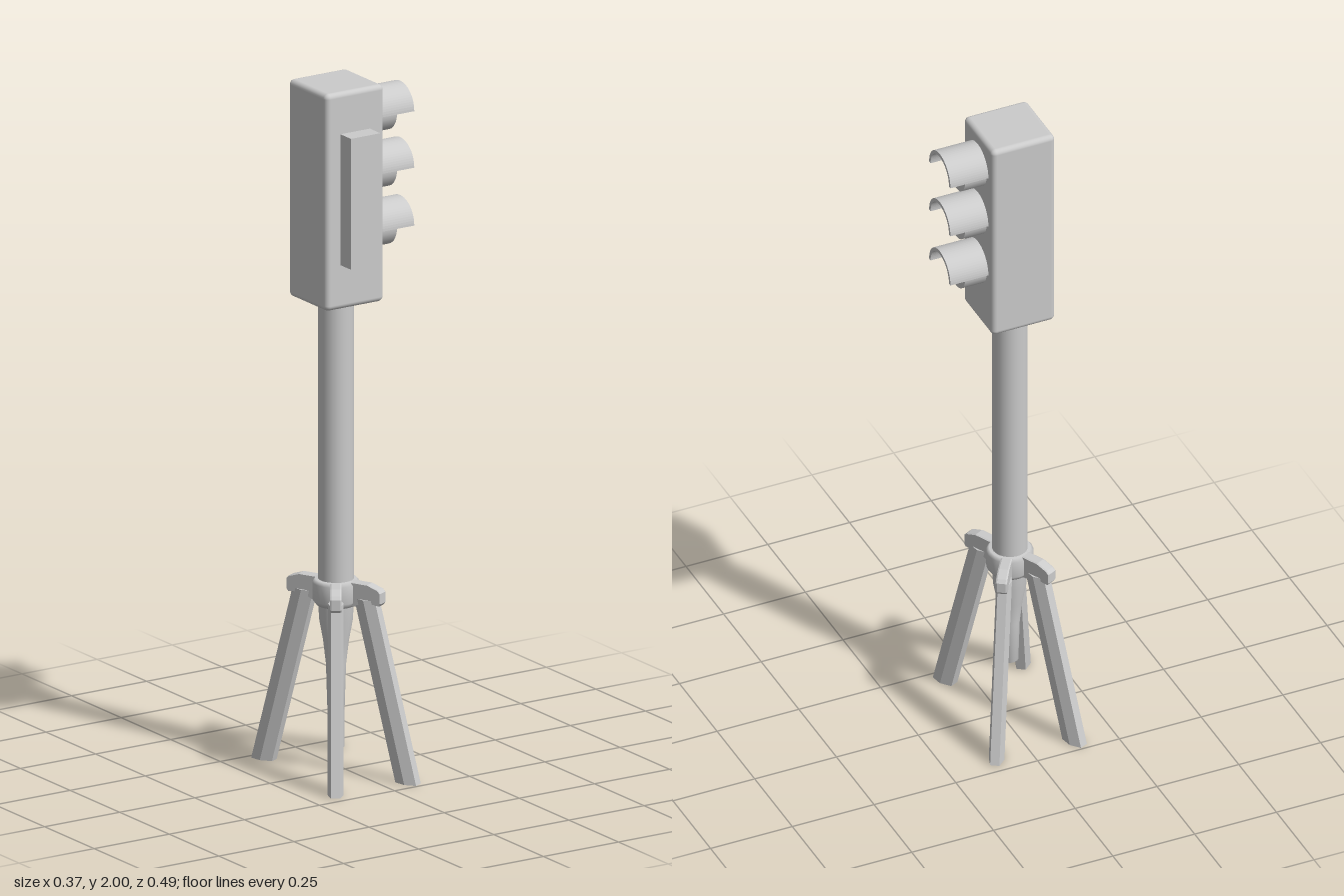
import * as THREE from 'three';
import { RoundedBoxGeometry } from 'three/addons/geometries/RoundedBoxGeometry.js';

const AXIS_X = -0.03; // the pole stands off-centre because the lamps stick out to +x

export function createModel() {
  const model = new THREE.Group();
  const material = new THREE.MeshStandardMaterial({ color: 0xcccccc });
  const add = (parent, name, geometry, x = 0, y = 0, z = 0) => {
    const mesh = new THREE.Mesh(geometry, material);
    mesh.name = name;
    mesh.position.set(x, y, z);
    parent.add(mesh);
    return mesh;
  };
  const points = (list) => list.map(([a, b]) => new THREE.Vector2(a, b));

  // Signal housing with the control panel on its front
  add(model, 'housing', new RoundedBoxGeometry(0.194, 0.63, 0.194, 3, 0.015), -0.028, 1.685, -0.002);
  add(model, 'controlPanel', new THREE.BoxGeometry(0.098, 0.38, 0.07), -0.029, 1.69, 0.113);

  // Three lamps, each a short drum under a half-round hood
  const drum = new THREE.CylinderGeometry(0.06, 0.06, 0.075, 24).rotateZ(-Math.PI / 2);
  const arch = new THREE.Shape();
  arch.absarc(0, 0, 0.071, 0, Math.PI, false);
  arch.absarc(0, 0, 0.061, Math.PI, 0, true);
  const hood = new THREE.ExtrudeGeometry(arch, { depth: 0.125, bevelEnabled: false, curveSegments: 16 })
    .rotateY(Math.PI / 2);
  [1.896, 1.732, 1.564].forEach((y, i) => {
    const lamp = new THREE.Group();
    lamp.name = ['topLamp', 'middleLamp', 'bottomLamp'][i];
    lamp.position.set(0.06, y, -0.002);
    add(lamp, 'lens', drum, 0.0375);
    add(lamp, 'hood', hood);
    model.add(lamp);
  });

  // Pole
  add(model, 'pole', new THREE.CylinderGeometry(0.05, 0.05, 0.88, 24), AXIS_X, 0.94, 0);

  // Collar around the pole and the tapered post hanging below it
  const collar = points([[0, 0.485], [0.055, 0.485], [0.066, 0.5], [0.066, 0.55], [0.058, 0.56], [0, 0.56]]);
  add(model, 'collar', new THREE.LatheGeometry(collar, 24), AXIS_X, 0, 0);
  const post = points([[0, 0.18], [0.024, 0.18], [0.028, 0.31], [0.036, 0.38], [0.047, 0.44], [0.05, 0.5]]);
  add(model, 'centrePost', new THREE.LatheGeometry(post, 20), AXIS_X, 0, 0);

  // Arm: side profile (distance from pole, height) given a width
  const armShape = new THREE.Shape(points([
    [0, 0.49], [0.07, 0.49], [0.1, 0.505], [0.146, 0.502], [0.152, 0.51],
    [0.152, 0.54], [0.143, 0.549], [0.11, 0.56], [0, 0.56],
  ]));
  const arm = new THREE.ExtrudeGeometry(armShape, {
    depth: 0.024, bevelThickness: 0.004, bevelSize: 0.002, bevelOffset: -0.002, bevelSegments: 1,
  }).translate(0, 0, -0.012);

  // Leg: hexagonal section extruded upwards, then sheared outwards to the foot
  const HEIGHT = 0.515;
  const section = new THREE.Shape(points([
    [0.066, -0.013], [0.1, -0.022], [0.133, -0.013], [0.133, 0.013], [0.1, 0.022], [0.066, 0.013],
  ]));
  const leg = new THREE.ExtrudeGeometry(section, { depth: HEIGHT, bevelEnabled: false }).rotateX(-Math.PI / 2);
  const p = leg.attributes.position;
  for (let i = 0; i < p.count; i++) p.setX(i, p.getX(i) + 0.133 * (1 - p.getY(i) / HEIGHT));
  leg.computeVertexNormals();

  // Four arms and legs, in two straight lines through the pole
  const feet = {
    frontLeft: [0.116, 0.238], frontRight: [-0.145, 0.217],
    backLeft: [0.145, -0.217], backRight: [-0.116, -0.238],
  };
  for (const [name, [dx, dz]] of Object.entries(feet)) {
    const stand = new THREE.Group();
    stand.name = name + 'Stand';
    stand.position.x = AXIS_X;
    stand.rotation.y = Math.atan2(-dz, dx);
    add(stand, 'arm', arm);
    add(stand, 'leg', leg);
    model.add(stand);
  }
  return model;
}
